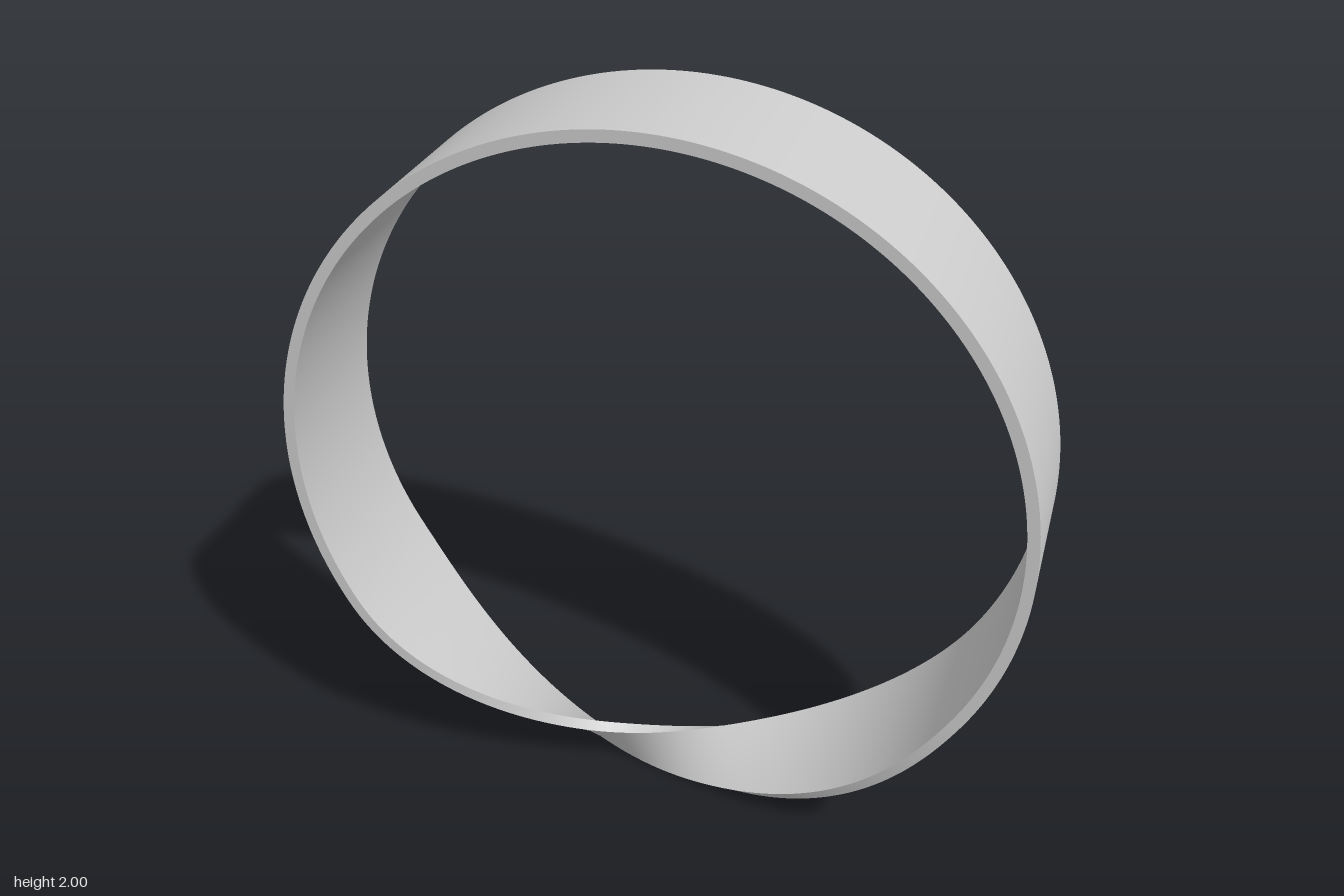
import * as THREE from 'three';

const RADIUS = 0.954;        // centre line of the band
const CENTRE_Y = 1.031;
const HALF_WIDTH = 0.207;
const HALF_THICK = 0.015;
const TWIST_HALF = 0.0725;   // half height of the band at the middle of the twist
const TWIST_SPAN = Math.PI / 3;
const STEPS = 360;

// Four corners of the cross-section at an angle measured from the bottom.
function section(theta) {
  const s = THREE.MathUtils.clamp(theta / TWIST_SPAN, -1, 1);
  const bump = (1 - s * s) ** 2;
  // Vector to one edge: inward and sideways components, turning over at the bottom
  const inward = TWIST_HALF * bump;
  const side = -HALF_WIDTH * (1.5 * s - 0.5 * s ** 3);
  const len = Math.hypot(inward, side);
  const nIn = (side / len) * HALF_THICK;
  const nSide = (-inward / len) * HALF_THICK;
  const base = RADIUS + 0.0045 * bump;
  return [[1, 1], [-1, 1], [-1, -1], [1, -1]].map(([e, n]) => {
    const r = base - (e * inward + n * nIn);
    return new THREE.Vector3(
      r * Math.sin(theta),
      CENTRE_Y - r * Math.cos(theta),
      e * side + n * nSide
    );
  });
}

// Each of the four sides is its own strip, so the long edges stay sharp.
function bandGeometry() {
  const rings = [];
  for (let i = 0; i <= STEPS; i++) {
    rings.push(section(-Math.PI + (2 * Math.PI * i) / STEPS));
  }
  const positions = [];
  const indices = [];
  for (let k = 0; k < 4; k++) {
    const start = positions.length / 3;
    rings.forEach((ring, i) => {
      const p = ring[k];
      const q = ring[(k + 1) % 4];
      positions.push(p.x, p.y, p.z, q.x, q.y, q.z);
      if (i < STEPS) {
        const a = start + i * 2;
        indices.push(a, a + 2, a + 1, a + 1, a + 2, a + 3);
      }
    });
  }
  const geometry = new THREE.BufferGeometry();
  geometry.setAttribute('position', new THREE.Float32BufferAttribute(positions, 3));
  geometry.setIndex(indices);
  geometry.computeVertexNormals();
  return geometry;
}

export function createModel() {
  const group = new THREE.Group();
  group.name = 'twistedRing';
  // One-sided band with a half twist at the bottom
  const band = new THREE.Mesh(
    bandGeometry(),
    new THREE.MeshStandardMaterial({ color: 0xcccccc })
  );
  band.name = 'twistedBand';
  group.add(band);
  return group;
}
